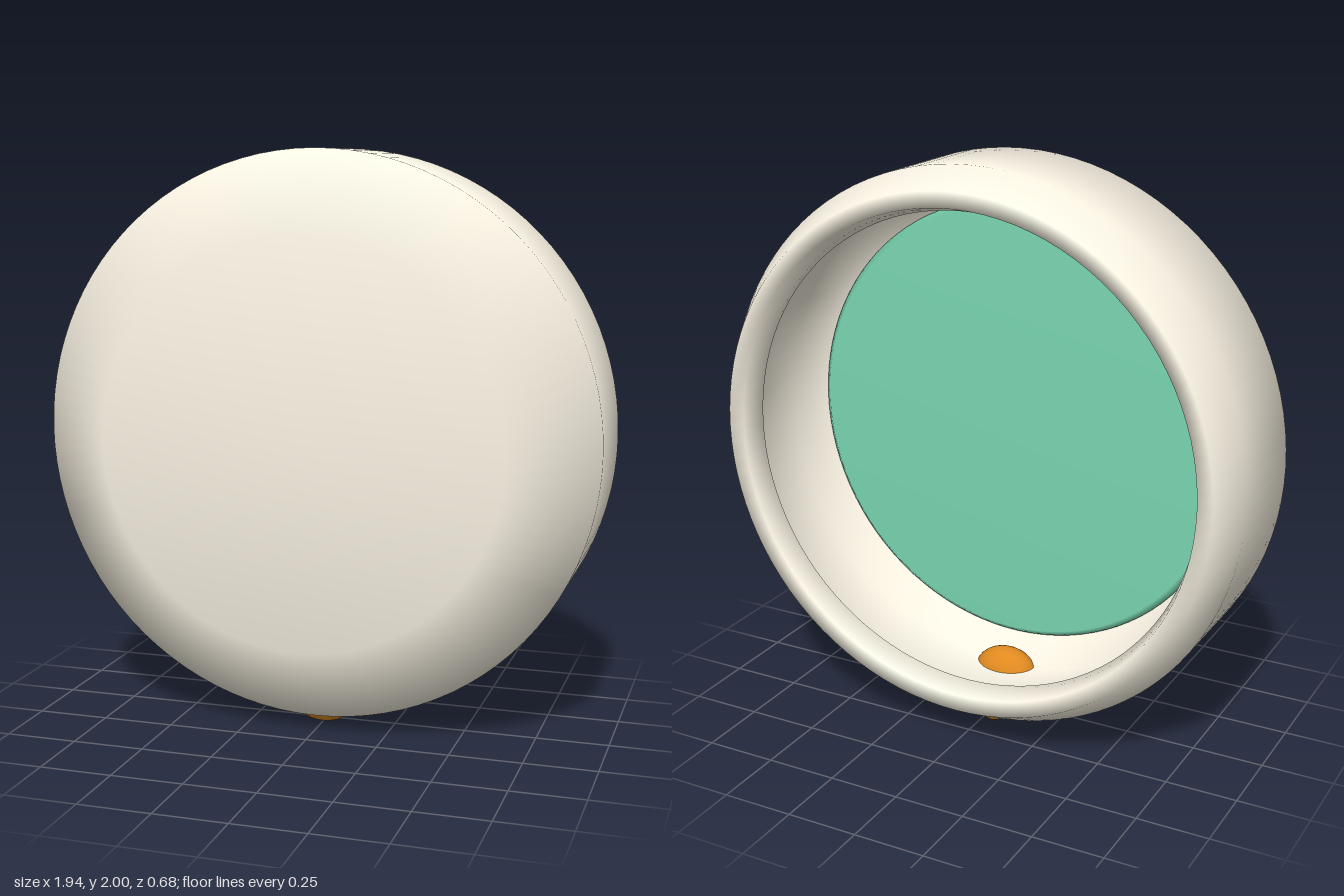
import * as THREE from 'three';

const CENTRE_Y = 1.028;

function material(color) {
  return new THREE.MeshStandardMaterial({ color });
}

// Revolve a [radius, z] profile about the z axis
function revolve(name, profile, mat) {
  const geometry = new THREE.LatheGeometry(profile.map(([r, z]) => new THREE.Vector2(r, z)), 96);
  geometry.rotateX(Math.PI / 2);
  const mesh = new THREE.Mesh(geometry, mat);
  mesh.name = name;
  mesh.position.y = CENTRE_Y;
  return mesh;
}

function ellipsoid(name, position, radii, mat) {
  const mesh = new THREE.Mesh(new THREE.SphereGeometry(1, 32, 20), mat);
  mesh.name = name;
  mesh.position.set(...position);
  mesh.scale.set(...radii);
  return mesh;
}

export function createModel() {
  const model = new THREE.Group();
  model.name = 'petBowl';
  const cream = material(0xfaf4e4);
  const teal = material(0x7ad6b2);
  const orange = material(0xe08a20);

  // Bowl lying on its side: inner floor, inner wall, undercut lip, rim, outer wall, base
  model.add(revolve('bowl', [
    [0, 0.26], [0.62, 0.26], [0.81, 0.13], [0.895, 0.04], [0.895, -0.2], [0.828, -0.25],
    [0.85, -0.335], [0.905, -0.342], [0.972, -0.225], [0.972, 0.15], [0.692, 0.342], [0, 0.342],
  ], cream));

  // Coloured filling, with softly shaded top and rounded edge
  model.add(revolve('filling', [
    [0, 0.1], [0.775, 0.1], [0.8, 0.125], [0.775, 0.15], [0, 0.15],
  ], teal));

  // Paw print on the outer wall
  const paw = new THREE.Group();
  paw.name = 'pawPrint';
  paw.add(ellipsoid('pawPad', [0, 0.1, 0.035], [0.12, 0.098, 0.08], orange));
  for (const side of [-1, 1]) {
    paw.add(ellipsoid('outerToe', [side * 0.133, 0.06, -0.072], [0.05, 0.048, 0.052], orange));
    paw.add(ellipsoid('innerToe', [side * 0.052, 0.06, -0.152], [0.05, 0.046, 0.05], orange));
  }
  model.add(paw);

  return model;
}
